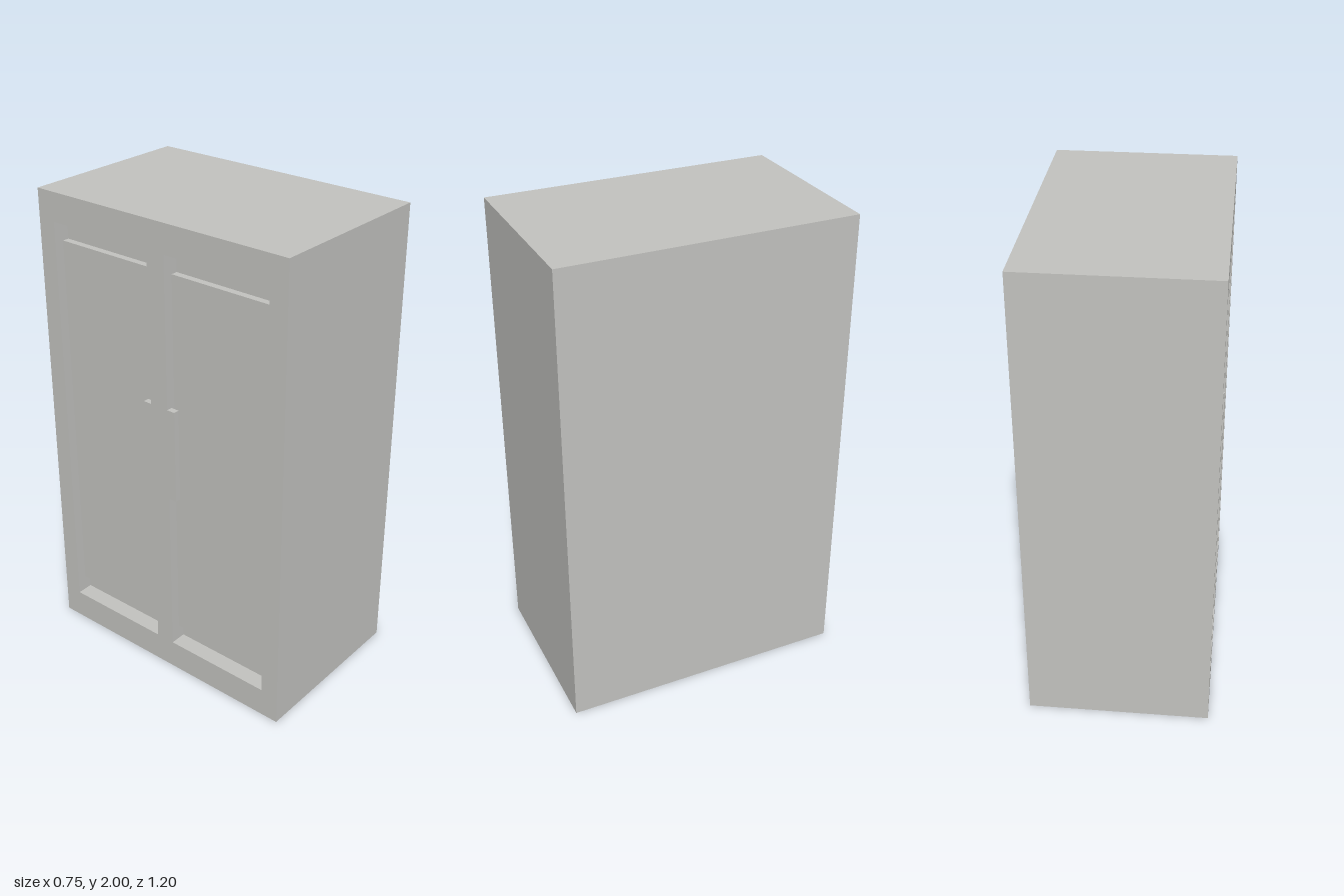
import * as THREE from 'three';

const WIDTH = 0.75, HEIGHT = 2, DEPTH = 1.2;
const RECESS = 0.07;                 // depth of the door openings
const FACE = -WIDTH / 2;             // x of the door side
const FLOOR = FACE + RECESS;         // x of the recess floor
const OPENING = { inner: 0.042, outer: 0.522, bottom: 0.125, top: 1.88 };

const lightGrey = new THREE.MeshStandardMaterial({ color: 0xc2c2bf });
lightGrey.name = 'lightGrey';

// Traces a rectangle onto a Shape or Path
function rectangle(path, x0, y0, x1, y1) {
  path.moveTo(x0, y0);
  path.lineTo(x1, y0);
  path.lineTo(x1, y1);
  path.lineTo(x0, y1);
  path.closePath();
  return path;
}

// Box given by its limits on each axis
function block(name, [x0, x1], [y0, y1], [z0, z1]) {
  const geometry = new THREE.BoxGeometry(x1 - x0, y1 - y0, z1 - z0);
  const mesh = new THREE.Mesh(geometry, lightGrey);
  mesh.name = name;
  mesh.position.set((x0 + x1) / 2, (y0 + y1) / 2, (z0 + z1) / 2);
  return mesh;
}

export function createModel() {
  const cabinet = new THREE.Group();
  cabinet.name = 'cabinet';

  // Solid body behind the door frame
  cabinet.add(block('body', [FLOOR, WIDTH / 2], [0, HEIGHT], [-DEPTH / 2, DEPTH / 2]));

  // Door frame with two tall openings
  const outline = rectangle(new THREE.Shape(), -DEPTH / 2, 0, DEPTH / 2, HEIGHT);
  for (const side of [-1, 1]) {
    const edges = [side * OPENING.inner, side * OPENING.outer].sort((a, b) => a - b);
    outline.holes.push(rectangle(new THREE.Path(), edges[0], OPENING.bottom, edges[1], OPENING.top));

    // Raised panel across each opening, set back from the frame
    cabinet.add(block(side < 0 ? 'rearDoorPanel' : 'frontDoorPanel',
      [FACE + 0.042, FLOOR], [0.19, 1.793], edges));
  }
  const frameGeometry = new THREE.ExtrudeGeometry(outline, { depth: RECESS, bevelEnabled: false });
  frameGeometry.rotateY(-Math.PI / 2);
  frameGeometry.translate(FLOOR, 0, 0);
  const frame = new THREE.Mesh(frameGeometry, lightGrey);
  frame.name = 'doorFrame';
  cabinet.add(frame);

  // Handle plate flush with the centre post and overlapping both openings
  for (const side of [-1, 1]) {
    const edges = [side * OPENING.inner, side * 0.078].sort((a, b) => a - b);
    cabinet.add(block(side < 0 ? 'rearHandle' : 'frontHandle',
      [FACE, FACE + 0.025], [0.85, 1.25], edges));
  }

  return cabinet;
}
